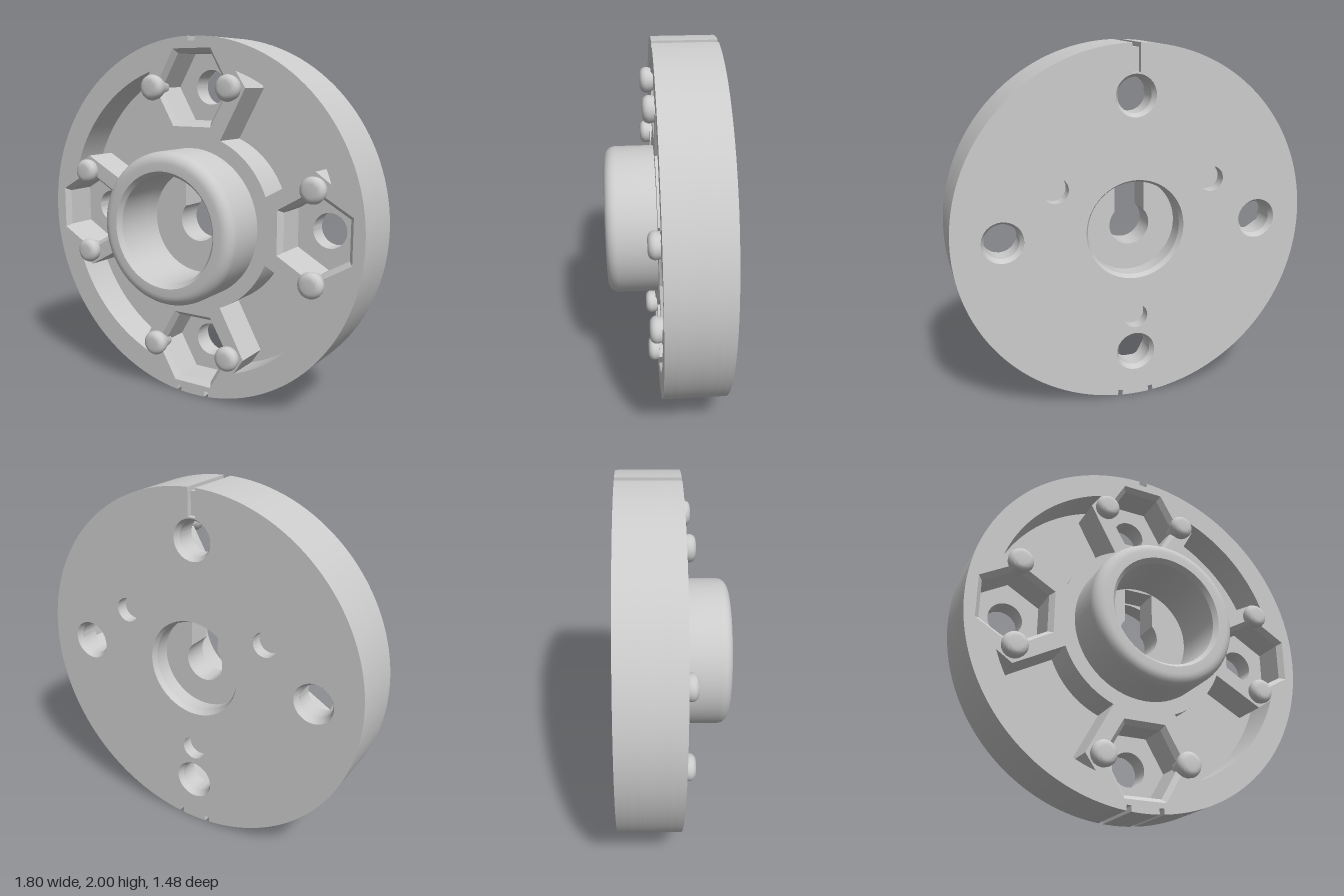
import * as THREE from 'three';
import { toCreasedNormals } from 'three/addons/utils/BufferGeometryUtils.js';

const PI = Math.PI;
const material = new THREE.MeshStandardMaterial({ color: 0xcccccc });
const thinMaterial = new THREE.MeshStandardMaterial({ color: 0xcccccc, side: THREE.DoubleSide });
const BOLT = 0.73; // radius of the circle of bolt pockets
const quarters = [0, 1, 2, 3].map(i => i * PI / 2);

const polar = (r, a) => [r * Math.cos(a), r * Math.sin(a)];

// Round outline with one groove on top and two at the bottom
function discOutline(topDepth) {
  const shape = new THREE.Shape();
  const grooves = [[PI / 2, 0.0225, topDepth], [1.5 * PI - 0.093, 0.0135, 0.03],
    [1.5 * PI + 0.093, 0.0135, 0.03], [2.5 * PI, 0.0225, topDepth]];
  for (let i = 0; i < 3; i++) {
    const [a, g] = grooves[i], [b, h, d] = grooves[i + 1];
    shape.absarc(0, 0, 1, a + g, b - h, false);
    shape.lineTo(...polar(1 - d, b - h / (1 - d)));
    shape.lineTo(...polar(1 - d, b + h / (1 - d)));
  }
  shape.closePath();
  return shape;
}

function circle(x, y, r) {
  return new THREE.Path().absarc(x, y, r, 0, 2 * PI, false);
}

const boltHoles = r => quarters.map(a => circle(...polar(BOLT, a), r));

const blindHoles = () => [PI / 6, 5 * PI / 6, 1.5 * PI].map(a => circle(...polar(0.51, a), 0.07));

// Hexagonal pockets, a flat side towards the hub
function hexPockets(r) {
  return quarters.map(a => {
    const [x, y] = polar(BOLT, a);
    const pts = [];
    for (let i = 0; i < 6; i++) {
      const [px, py] = polar(r, a + PI / 6 + i * PI / 3);
      pts.push(new THREE.Vector2(x + px, y + py));
    }
    return new THREE.Path(pts);
  });
}

// Round hole with a key slot reaching up to the bore wall
function keyhole() {
  const a = Math.acos(0.085 / 0.115);
  const p = new THREE.Path().absarc(0, 0, 0.115, PI - a, 2 * PI + a, false);
  p.lineTo(0.085, 0.275);
  p.lineTo(-0.085, 0.275);
  p.closePath();
  return p;
}

// Recesses between the hub ring, the rim and the hexagonal housings
function recesses() {
  return quarters.map(q => {
    const at = (x, y) => polar(Math.hypot(x, y), Math.atan2(y, x) + q);
    const o = Math.atan2(0.272, 0.816), n = Math.atan2(0.18, 0.455);
    const p = new THREE.Path();
    p.absarc(0, 0, 0.86, o + q, PI / 2 - o + q, false);
    p.lineTo(...at(0.33, BOLT));
    p.absarc(0, 0, 0.49, PI / 2 - n + q, n + q, true);
    p.lineTo(...at(BOLT, 0.33));
    p.closePath();
    return p;
  });
}

function add(parent, name, geometry, mat = material) {
  const mesh = new THREE.Mesh(geometry, mat);
  mesh.name = name;
  parent.add(mesh);
  return mesh;
}

// One slice of the wheel between two depths
function layer(parent, name, z0, z1, holes, topDepth = 0.025) {
  const shape = discOutline(topDepth);
  shape.holes.push(...holes);
  const g = new THREE.ExtrudeGeometry(shape, { depth: z1 - z0, bevelEnabled: false, curveSegments: 32 });
  g.translate(0, 0, z0);
  add(parent, name, toCreasedNormals(g, 0.4));
}

// Sloped ring that lines the edge of a hole
function chamfer(parent, name, x, y, rBack, rFront, z0, z1, sides, turn = 0) {
  const g = new THREE.CylinderGeometry(rFront, rBack, z1 - z0, sides, 1, true);
  g.rotateX(PI / 2).rotateZ(turn).translate(x, y, (z0 + z1) / 2);
  add(parent, name, toCreasedNormals(g, 0.5), thinMaterial);
}

function lathe(points, segments) {
  const g = new THREE.LatheGeometry(points.map(p => new THREE.Vector2(...p)), segments);
  return toCreasedNormals(g.rotateX(PI / 2), 0.5);
}

export function createModel() {
  const model = new THREE.Group();
  model.name = 'hubWheel';
  const wheel = new THREE.Group();
  wheel.name = 'wheel';
  wheel.position.y = 1;
  wheel.rotation.y = -0.647;
  model.add(wheel);

  // Wheel body, from the back to the front
  layer(wheel, 'backFace', -0.17, -0.14, [circle(0, 0, 0.28), ...boltHoles(0.113), ...blindHoles()], 0.15);
  layer(wheel, 'backPlate', -0.14, -0.10, [circle(0, 0, 0.265), ...boltHoles(0.095), ...blindHoles()]);
  layer(wheel, 'middlePlate', -0.10, -0.05, [circle(0, 0, 0.265), ...boltHoles(0.095)]);
  layer(wheel, 'recessFloor', -0.05, -0.03, [keyhole(), ...boltHoles(0.095)]);
  layer(wheel, 'hubWeb', -0.03, 0.10, [keyhole(), ...hexPockets(0.21), ...recesses()]);
  layer(wheel, 'frontPlate', 0.10, 0.14, [circle(0, 0, 0.29), ...hexPockets(0.21), ...recesses()]);
  layer(wheel, 'frontFace', 0.14, 0.17, [circle(0, 0, 0.29), ...hexPockets(0.238), ...recesses()]);

  // Chamfered edges of the holes
  chamfer(wheel, 'backBoreChamfer', 0, 0, 0.28, 0.265, -0.17, -0.14, 64);
  for (const a of quarters) {
    const [x, y] = polar(BOLT, a);
    chamfer(wheel, 'boltHoleChamfer', x, y, 0.113, 0.095, -0.17, -0.14, 32);
    chamfer(wheel, 'hexPocketChamfer', x, y, 0.21, 0.238, 0.14, 0.17, 6, a);
  }

  // Hub collar with a rounded outer edge
  const profile = [[0.41, 0.17]];
  for (let i = 0; i <= 6; i++) {
    const [x, y] = polar(0.06, i * PI / 12);
    profile.push([0.35 + x, 0.38 + y]);
  }
  profile.push([0.31, 0.44], [0.29, 0.415], [0.29, 0.17]);
  add(wheel, 'hubCollar', lathe(profile, 64));

  // Rounded retaining nubs on both sides of each pocket
  const nub = [[0, 0.10], [0.045, 0.10], [0.055, 0.15], [0.065, 0.17]];
  for (let i = 0; i <= 5; i++) {
    const [x, y] = polar(0.035, i * PI / 10);
    nub.push([0.035 + x, 0.195 + y]);
  }
  nub.push([0, 0.23]);
  const nubGeometry = lathe(nub, 24);
  for (const a of quarters) {
    for (const side of [-1, 1]) {
      const mesh = add(wheel, 'retainingNub', nubGeometry);
      const [x, y] = polar(BOLT, a), [dx, dy] = polar(0.24 * side, a + PI / 2);
      mesh.position.set(x + dx, y + dy, 0);
    }
  }
  return model;
}
